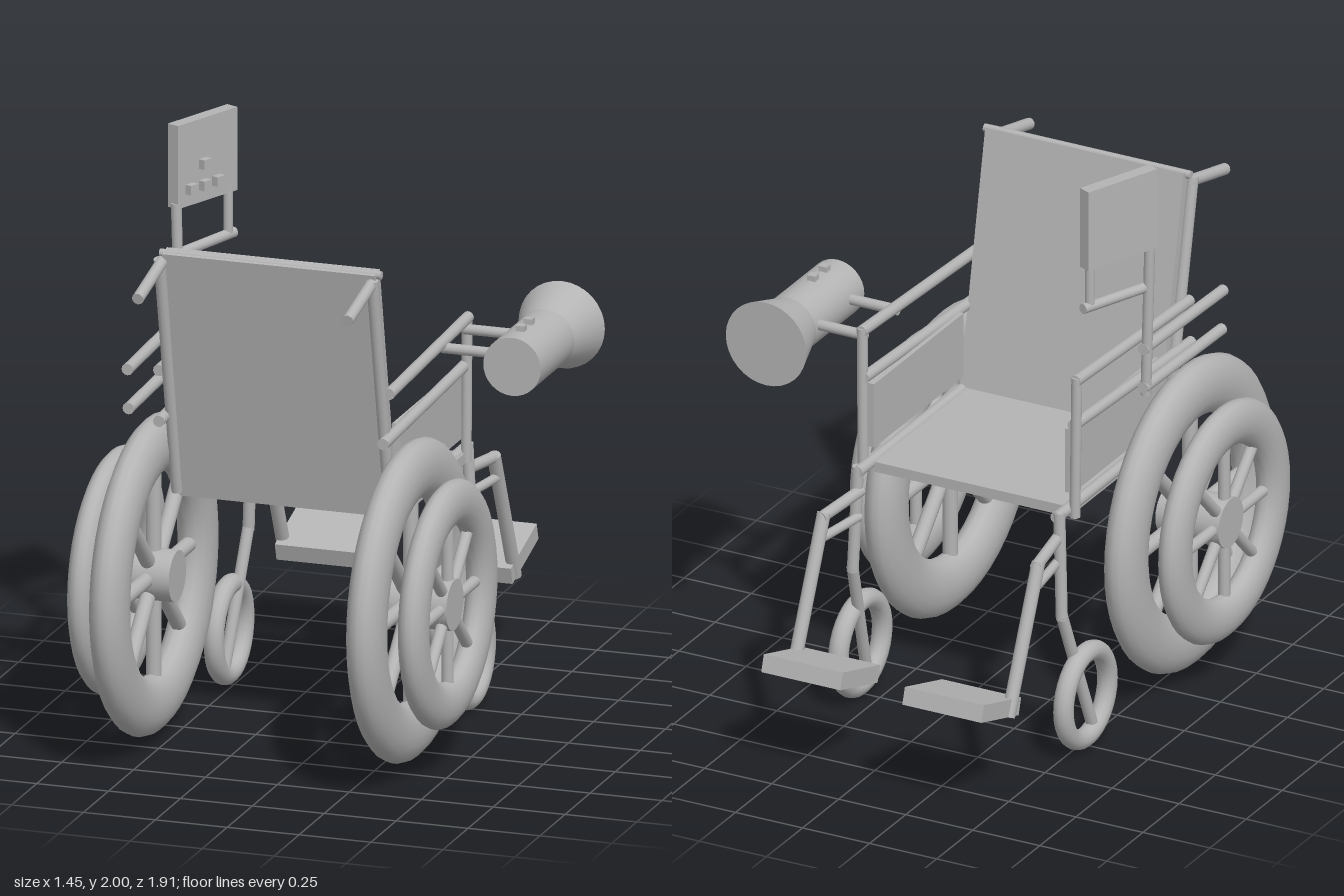
import * as THREE from 'three';

const MID = -0.1; // centre plane of the chair; the mounted tube and screen offset it

export function createModel() {
  const model = new THREE.Group();
  model.name = 'wheelchair';
  const grey = new THREE.MeshStandardMaterial({ color: 0xb4b4b4 });
  grey.name = 'grey';

  function add(name, geometry, parent = model) {
    const mesh = new THREE.Mesh(geometry, grey);
    mesh.name = name;
    parent.add(mesh);
    return mesh;
  }

  function box(name, size, pos, parent) {
    const mesh = add(name, new THREE.BoxGeometry(...size), parent);
    mesh.position.set(...pos);
    return mesh;
  }

  // Round bar between two points
  function rod(name, a, b, r = 0.018, parent = model) {
    const from = new THREE.Vector3(...a), to = new THREE.Vector3(...b);
    const dir = to.clone().sub(from);
    const mesh = add(name, new THREE.CylinderGeometry(r, r, dir.length(), 12), parent);
    mesh.position.copy(from).add(to).multiplyScalar(0.5);
    mesh.quaternion.setFromUnitVectors(new THREE.Vector3(0, 1, 0), dir.normalize());
    return mesh;
  }

  // Wheel in the YZ plane: flattened tyre, eight spokes, hub
  function wheel(name, x, scale, hubIn, hubOut) {
    const g = new THREE.Group();
    g.name = name;
    g.position.set(x, 0.572, 0.415);
    const tyre = new THREE.TorusGeometry(0.44, 0.1, 16, 48);
    tyre.scale(1, 1, 0.63);
    tyre.rotateY(Math.PI / 2);
    tyre.scale(scale, scale, scale);
    add('tyre', tyre, g);
    for (let i = 0; i < 8; i++) {
      const a = (i * Math.PI) / 4;
      const c = Math.cos(a) * scale, s = Math.sin(a) * scale;
      rod('spoke', [0, 0.05 * s, 0.05 * c], [0, 0.36 * s, 0.36 * c], 0.026 * scale, g);
    }
    rod('hub', [hubIn - x, 0, 0], [hubOut - x, 0, 0], 0.087, g).geometry =
      new THREE.CylinderGeometry(0.087, 0.087, Math.abs(hubOut - hubIn), 24);
    model.add(g);
  }

  // Seat and reclined backrest
  box('seat', [0.77, 0.036, 0.65], [MID + 0.01, 0.853, 0.041]);
  const back = box('backrest', [0.74, 0.9, 0.05], [MID + 0.01, 1.292, 0.468]);
  back.rotation.x = 0.2;
  rod('backTopBar', [MID - 0.375, 1.725, 0.557], [MID + 0.395, 1.725, 0.557], 0.014);

  // Everything that comes in left and right pairs
  for (const s of [-1, 1]) {
    const X = (d) => MID + s * d;

    wheel('driveWheel', X(0.447), 1, X(0.365), X(0.5));
    wheel('outerWheel', X(0.575), 0.77, X(0.5), X(0.6));

    // Back frame and push handle
    rod('backPost', [X(0.37), 0.86, 0.4], [X(0.37), 1.71, 0.578], 0.02);
    rod('pushHandle', [X(0.365), 1.7, 0.56], [X(0.365), 1.64, 0.81], 0.02);

    // Armrest and side panel
    box('sidePanel', [0.028, 0.23, 0.62], [X(0.37), 1.035, 0.03]);
    rod('armrest', [X(0.4), 1.3, 0.5], [X(0.4), 1.335, -0.29], 0.02);
    rod('lowerRail', [X(0.39), 1.135, 0.53], [X(0.39), 1.17, -0.29], 0.02);
    rod('armPost', [X(0.395), 0.84, -0.284], [X(0.4), 1.345, -0.28], 0.018);
    rod('seatRail', [X(0.37), 0.865, 0.35], [X(0.37), 0.865, -0.37], 0.02);

    // Caster with bent stem
    const ring = add('casterTyre', new THREE.TorusGeometry(0.152, 0.034, 12, 32));
    ring.rotation.y = Math.PI / 2;
    ring.position.set(X(0.42), 0.187, -0.257);
    rod('casterPost', [X(0.375), 0.88, -0.355], [X(0.39), 0.5, -0.365], 0.02);
    rod('casterFork', [X(0.39), 0.515, -0.366], [X(0.42), 0.065, -0.212], 0.02);

    // Footrest
    rod('hangerTop', [X(0.37), 0.79, -0.35], [X(0.4), 0.775, -0.565], 0.02);
    rod('hangerBottom', [X(0.37), 0.7, -0.36], [X(0.4), 0.7, -0.57], 0.016);
    rod('footrestBar', [X(0.4), 0.785, -0.545], [X(0.4), 0.31, -0.755], 0.023);
    const plate = box('footplate', [0.295, 0.06, 0.27], [X(0.263), 0.365, -0.822]);
    plate.rotation.x = 0.3;
  }

  // Flared tube mounted beside the left armrest
  const profile = [[0, 0.055], [0.1, 0.055], [0.1, -0.28], [0.15, -0.44], [0, -0.44]];
  const points = [];
  for (let i = 0; i < profile.length; i++) {
    const [r, z] = profile[i];
    points.push(new THREE.Vector2(r, -z));
  }
  // Each section is its own lathe so the rims stay sharp
  for (let i = 0; i < points.length - 1; i++) {
    const part = new THREE.LatheGeometry([points[i], points[i + 1]], 32);
    part.rotateX(-Math.PI / 2);
    add(['tubeRearCap', 'tubeBody', 'tubeFlare', 'tubeFrontCap'][i], part).position.set(0.573, 1.292, 0);
  }
  for (const z of [-0.25, -0.03]) rod('tubeMount', [0.3, 1.305, z], [0.5, 1.305, z], 0.018);
  for (const z of [-0.115, -0.035]) box('tubeButton', [0.03, 0.03, 0.03], [0.573, 1.395, z]);

  // Screen with buttons on the right side
  const screen = new THREE.Group();
  screen.name = 'screen';
  screen.position.set(-0.553, 1.857, -0.088);
  screen.rotation.y = -0.4;
  box('screenCase', [0.045, 0.286, 0.29], [0, 0, 0], screen);
  for (const [y, z] of [[-0.01, 0.025], [-0.083, 0.09], [-0.083, 0.025], [-0.083, -0.04]])
    box('screenButton', [0.035, 0.033, 0.037], [0.03, y, z], screen);
  model.add(screen);

  // Screen stand
  rod('screenPost', [-0.585, 1.17, 0.04], [-0.6, 1.73, 0.04]);
  rod('screenStay', [-0.5, 1.56, -0.19], [-0.5, 1.73, -0.19], 0.016);
  rod('screenCrossbar', [-0.59, 1.56, 0.05], [-0.49, 1.567, -0.22]);
  rod('upperMountBar', [-0.58, 1.32, 0.585], [-0.585, 1.34, 0.02], 0.02);
  rod('lowerMountBar', [-0.58, 1.183, 0.575], [-0.585, 1.2, 0.02], 0.02);

  return model;
}
